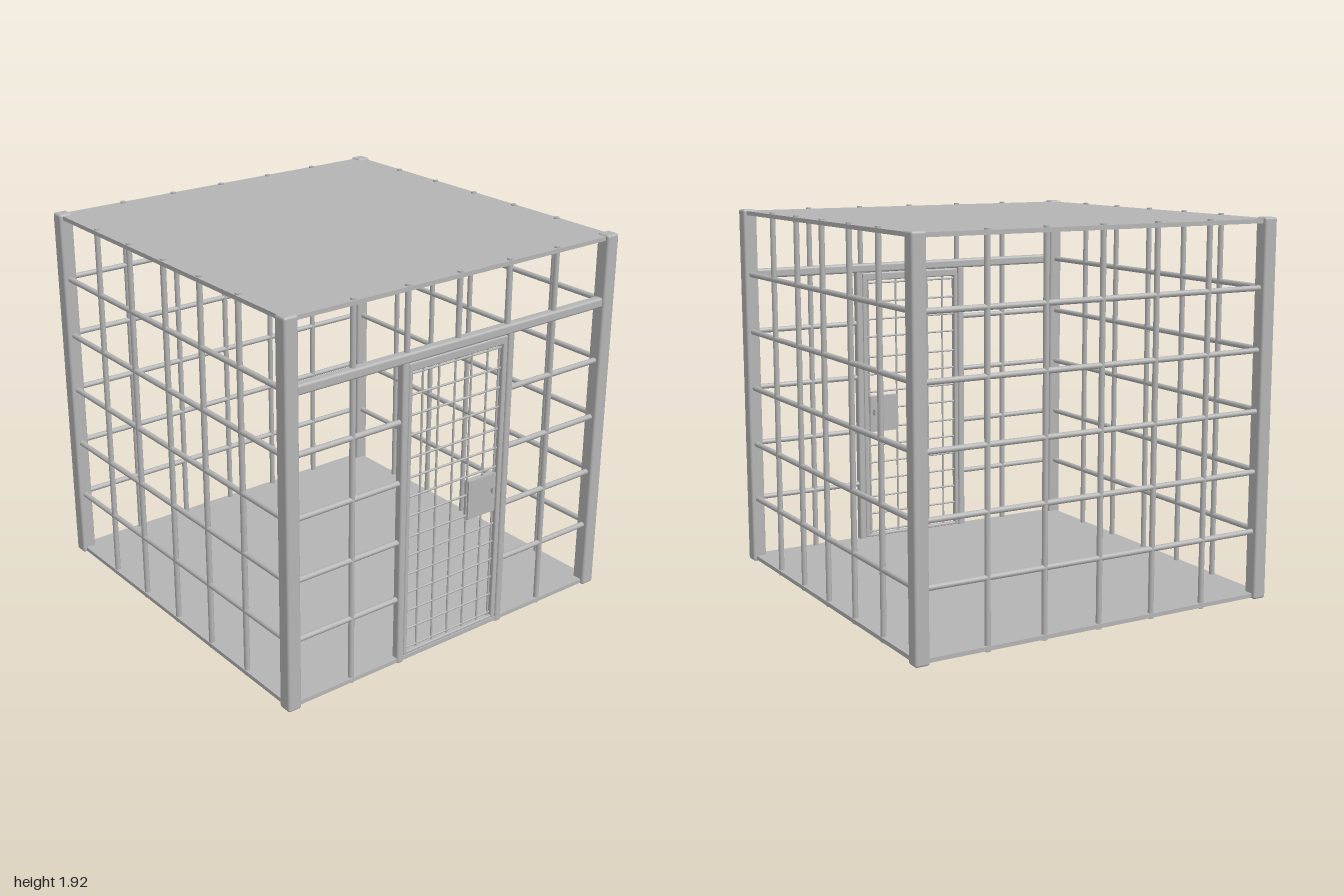
import * as THREE from 'three';
import { RoundedBoxGeometry } from 'three/addons/geometries/RoundedBoxGeometry.js';

const H = 1.925;          // overall height
const WALL = 0.965;       // distance of the bar planes from the centre
const END = 0.935;        // bars run into the corner posts
const R = 0.0142;         // wall bar radius
const COLS = [-0.612, -0.306, 0, 0.306, 0.612];
const ROWS = [0.35, 0.657, 0.965, 1.272, 1.58];

export function createModel() {
  const steel = new THREE.MeshStandardMaterial({ color: 0xb4b4b4 });
  steel.name = 'grey steel';
  const model = new THREE.Group();
  model.name = 'cage';

  const add = (parent, geo, name, x = 0, y = 0, z = 0) => {
    const m = new THREE.Mesh(geo, steel);
    m.name = name;
    m.position.set(x, y, z);
    parent.add(m);
    return m;
  };
  const group = (name) => {
    const g = new THREE.Group();
    g.name = name;
    model.add(g);
    return g;
  };
  // Box given by its x and y limits
  const beam = (parent, name, x0, x1, y0, y1, z, depth, r = 0.007) =>
    add(parent, new RoundedBoxGeometry(x1 - x0, y1 - y0, depth, 2, r), name,
      (x0 + x1) / 2, (y0 + y1) / 2, z);
  // Round bars
  const vertical = (parent, name, x, y0, y1, z, r = R) =>
    add(parent, new THREE.CylinderGeometry(r, r, y1 - y0, 12), name, x, (y0 + y1) / 2, z);
  const horizontal = (parent, name, x0, x1, y, z, r = R) => {
    const m = add(parent, new THREE.CylinderGeometry(r, r, x1 - x0, 12), name, (x0 + x1) / 2, y, z);
    m.rotation.z = Math.PI / 2;
  };

  // Floor and roof slabs
  add(model, new THREE.BoxGeometry(1.965, 0.021, 1.965), 'floor', 0, 0.0185, 0);
  add(model, new THREE.BoxGeometry(1.965, 0.021, 1.965), 'roof', 0, 1.9065, 0);

  // Corner posts
  for (const sx of [-1, 1]) for (const sz of [-1, 1]) {
    add(model, new RoundedBoxGeometry(0.074, H, 0.074, 3, 0.012), 'cornerPost',
      sx * 0.963, H / 2, sz * 0.963);
  }

  // Back and side walls: full bar grids
  const walls = [['backWall', Math.PI], ['leftWall', Math.PI / 2], ['rightWall', -Math.PI / 2]];
  for (const [name, angle] of walls) {
    const wall = group(name);
    wall.rotation.y = angle;
    for (const x of COLS) vertical(wall, 'verticalBar', x, 0, H, WALL);
    for (const y of ROWS) horizontal(wall, 'horizontalBar', -END, END, y, WALL);
  }

  // Front wall: bars beside and above the doorway
  const front = group('frontWall');
  for (const x of COLS) {
    vertical(front, 'verticalBar', x, Math.abs(x) > 0.5 ? 0 : 1.58, H, WALL);
  }
  for (const y of ROWS.slice(0, 4)) {
    horizontal(front, 'horizontalBar', -END, -0.32, y, WALL);
    horizontal(front, 'horizontalBar', 0.32, END, y, WALL);
  }
  beam(front, 'lintel', -END, END, 1.556, 1.606, WALL, 0.05, 0.012);
  for (const s of [-1, 1]) {
    beam(front, 'doorJamb', s * 0.323 - 0.019, s * 0.323 + 0.019, 0, 1.565, WALL, 0.045, 0.01);
  }

  // Door frame
  const door = group('door');
  beam(door, 'topRail', -0.302, 0.302, 1.51, 1.553, WALL, 0.036);
  beam(door, 'bottomRail', -0.302, 0.302, 0.031, 0.046, WALL, 0.03, 0.005);
  beam(door, 'hingeStile', -0.303, -0.28, 0.031, 1.53, WALL, 0.036);
  beam(door, 'lockStile', 0.275, 0.303, 0.031, 1.53, WALL, 0.036);

  // Door mesh of thin rods
  for (const x of [-0.208, -0.11, -0.01, 0.09, 0.19, 0.264]) {
    vertical(door, 'meshRod', x, 0.04, 1.52, WALL, 0.0055);
  }
  for (const y of [0.06, 0.165, 0.265, 0.365, 0.465, 0.565, 0.665, 0.775,
    0.875, 0.975, 1.075, 1.19, 1.29, 1.39, 1.495]) {
    horizontal(door, 'meshRod', -0.29, 0.285, y, WALL, 0.0055);
  }

  // Lock plate with a keyhole cut through it
  const plate = new THREE.Shape();
  plate.moveTo(0.09, 0.645).lineTo(0.266, 0.645).lineTo(0.266, 0.85).lineTo(0.09, 0.85).closePath();
  const keyhole = new THREE.Path();
  keyhole.moveTo(0.239, 0.738).lineTo(0.239, 0.758);
  keyhole.absarc(0.244, 0.763, 0.009, Math.PI * 1.2, -Math.PI * 0.2, true);
  keyhole.lineTo(0.249, 0.738).closePath();
  plate.holes.push(keyhole);
  add(door, new THREE.ExtrudeGeometry(plate, { depth: 0.03, bevelEnabled: false, curveSegments: 10 }),
    'lockPlate', 0, 0, WALL - 0.015);

  return model;
}
